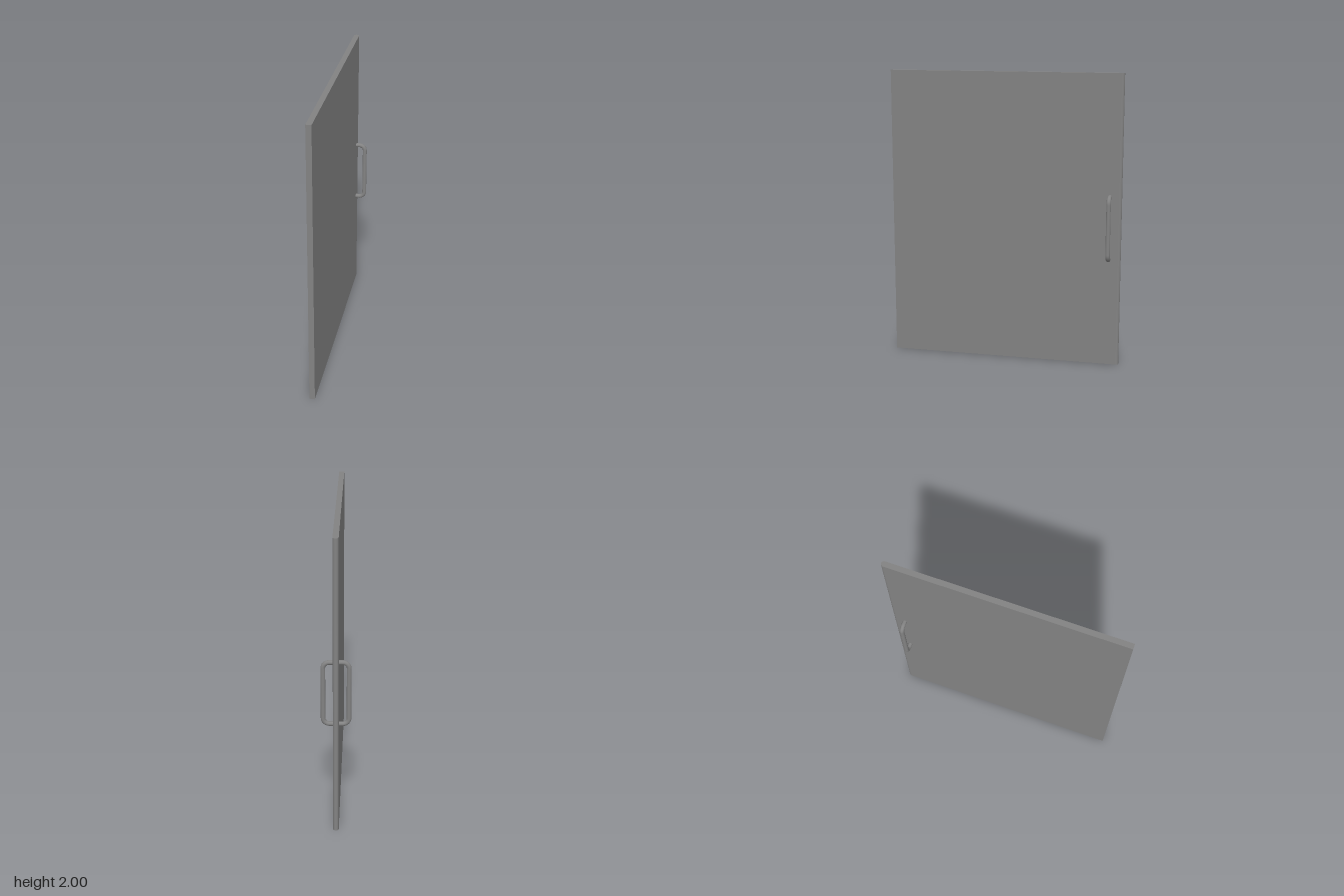
import * as THREE from 'three';

const HALF_T = 0.0185, HALF_W = 0.803, HEIGHT = 2;

export function createModel() {
  const group = new THREE.Group();
  const material = new THREE.MeshStandardMaterial({ color: 0x828282 });
  const add = (name, geometry) => {
    const mesh = new THREE.Mesh(geometry, material);
    mesh.name = name;
    group.add(mesh);
    return mesh;
  };

  // Flat door panel, square at the front edge
  const depth = 2 * HALF_W - HALF_T;
  add('doorPanel', new THREE.BoxGeometry(2 * HALF_T, HEIGHT, depth))
    .position.set(0, HEIGHT / 2, HALF_T / 2);

  // Half-round edge on the handle side
  add('roundedEdge', new THREE.CylinderGeometry(HALF_T, HALF_T, HEIGHT, 20, 1, false, Math.PI / 2, Math.PI))
    .position.set(0, HEIGHT / 2, HALF_T - HALF_W);

  // Pull handles: a round bar bent into a bracket, one on each face
  const barRadius = 0.015, reach = 0.082, low = 0.75, high = 1.176, bend = 0.04, z = -0.723;
  const k = bend * 0.448, root = HALF_T - 0.006;
  for (const side of [1, -1]) {
    const p = (x, y) => new THREE.Vector3(side * x, y, z);
    const path = new THREE.CurvePath();
    path.add(new THREE.LineCurve3(p(root, low), p(reach - bend, low)));
    path.add(new THREE.CubicBezierCurve3(p(reach - bend, low), p(reach - k, low), p(reach, low + k), p(reach, low + bend)));
    path.add(new THREE.LineCurve3(p(reach, low + bend), p(reach, high - bend)));
    path.add(new THREE.CubicBezierCurve3(p(reach, high - bend), p(reach, high - k), p(reach - k, high), p(reach - bend, high)));
    path.add(new THREE.LineCurve3(p(reach - bend, high), p(root, high)));
    add(side > 0 ? 'leftHandle' : 'rightHandle', new THREE.TubeGeometry(path, 96, barRadius, 20));
  }
  return group;
}
